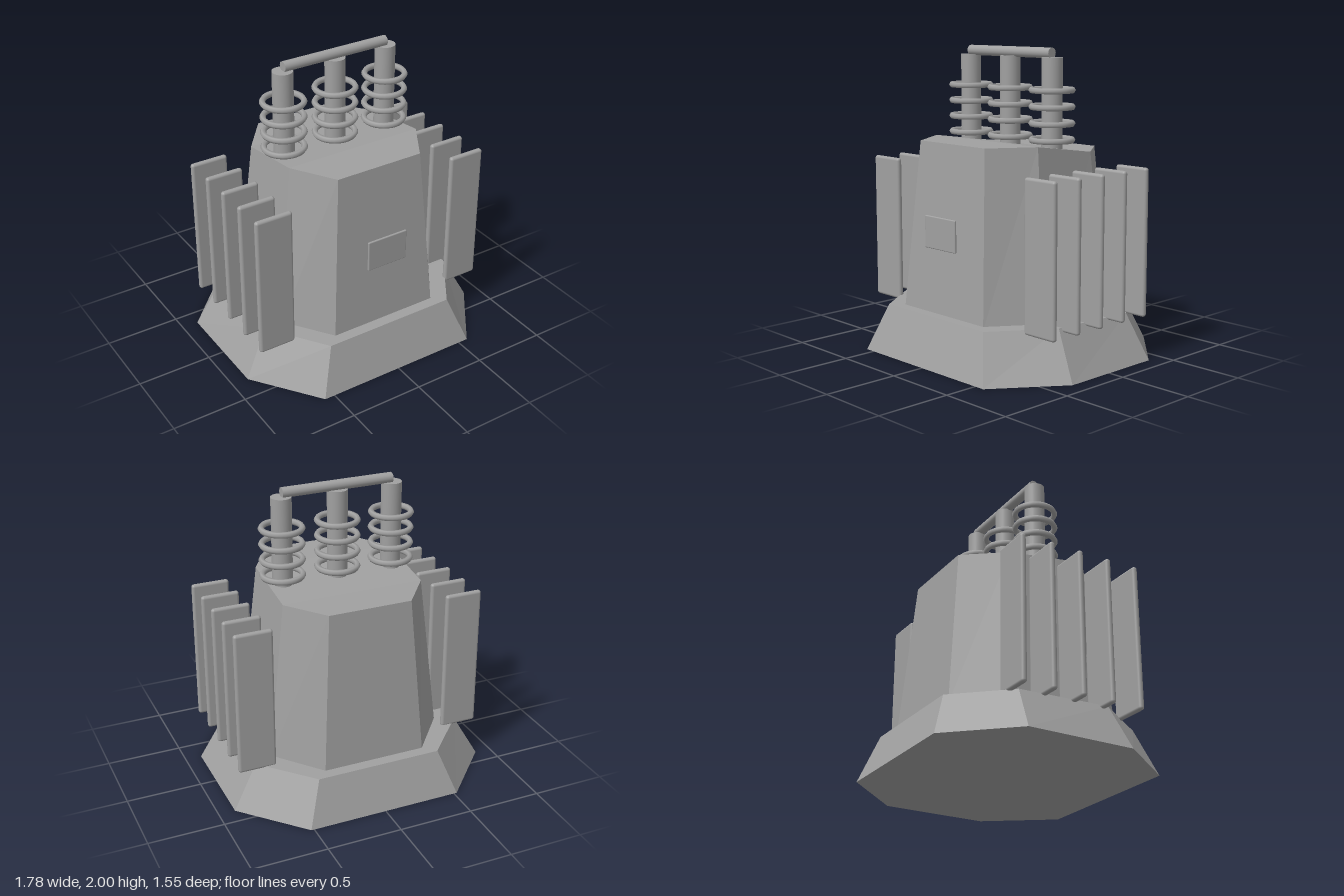
import * as THREE from 'three';
import { RoundedBoxGeometry } from 'three/addons/geometries/RoundedBoxGeometry.js';

// Each half ring lists [x, y, z] down the +x side from front to back.
function octagonFrustum(bottomHalf, topHalf) {
  const full = (half) => [...half, ...half.slice().reverse().map(([x, y, z]) => [-x, y, z])];
  const bottom = full(bottomHalf);
  const top = full(topHalf);
  const positions = [];
  const quad = (a, b, c, d) => [a, b, c, a, c, d].forEach((p) => positions.push(...p));
  for (let i = 0; i < 8; i++) {
    const j = (i + 1) % 8;
    quad(bottom[i], bottom[j], top[j], top[i]);
  }
  // Caps as three strips from front to back
  for (let i = 0; i < 3; i++) {
    quad(top[7 - i], top[i], top[i + 1], top[6 - i]);
    quad(bottom[6 - i], bottom[i + 1], bottom[i], bottom[7 - i]);
  }
  const geometry = new THREE.BufferGeometry();
  geometry.setAttribute('position', new THREE.Float32BufferAttribute(positions, 3));
  geometry.computeVertexNormals();
  return geometry;
}

export function createModel() {
  const model = new THREE.Group();
  model.name = 'transformer';
  const grey = new THREE.MeshStandardMaterial({ color: 0xa0a0a0 });
  grey.name = 'grey';

  const add = (name, geometry, x = 0, y = 0, z = 0, parent = model) => {
    const mesh = new THREE.Mesh(geometry, grey);
    mesh.name = name;
    mesh.position.set(x, y, z);
    parent.add(mesh);
    return mesh;
  };

  // Flared plinth
  add('base', octagonFrustum(
    [[0.57, 0, 0.775], [0.89, 0, 0.335], [0.89, 0, -0.385], [0.52, 0, -0.78]],
    [[0.46, 0.31, 0.67], [0.725, 0.31, 0.285], [0.725, 0.29, -0.345], [0.42, 0.29, -0.675]],
  ));

  // Tapered tank with a roof that drops towards the back
  add('tank', octagonFrustum(
    [[0.38, 0.29, 0.597], [0.6, 0.29, 0.28], [0.6, 0.28, -0.29], [0.345, 0.28, -0.6]],
    [[0.305, 1.4, 0.51], [0.48, 1.4, 0.225], [0.48, 1.33, -0.255], [0.28, 1.33, -0.515]],
  ));

  // Cooling fins on both sides
  const finGeometry = new RoundedBoxGeometry(0.255, 0.97, 0.038, 3, 0.018);
  for (const side of [-1, 1]) {
    for (let i = 0; i < 5; i++) {
      add('coolingFin', finGeometry, side * 0.727, 0.765, 0.448 - i * 0.2075);
    }
  }

  // Plate on the front
  add('frontPlate', new RoundedBoxGeometry(0.29, 0.21, 0.016, 2, 0.007), 0, 0.84, 0.609);

  // Insulator posts with rings
  const postGeometry = new THREE.CylinderGeometry(0.067, 0.067, 0.64, 24);
  const ringGeometry = new THREE.TorusGeometry(0.13, 0.02, 6, 32).rotateX(Math.PI / 2);
  for (const x of [-0.38, 0, 0.38]) {
    const insulator = new THREE.Group();
    insulator.name = 'insulator';
    insulator.position.x = x;
    model.add(insulator);
    add('post', postGeometry, 0, 1.62, 0, insulator);
    for (let i = 0; i < 4; i++) add('ring', ringGeometry, 0, 1.42 + i * 0.105, 0, insulator);
  }

  // Bar joining the posts
  const bar = add('topBar', new THREE.CylinderGeometry(0.034, 0.034, 0.755, 20), 0, 1.966, 0);
  bar.rotation.z = Math.PI / 2;

  return model;
}
